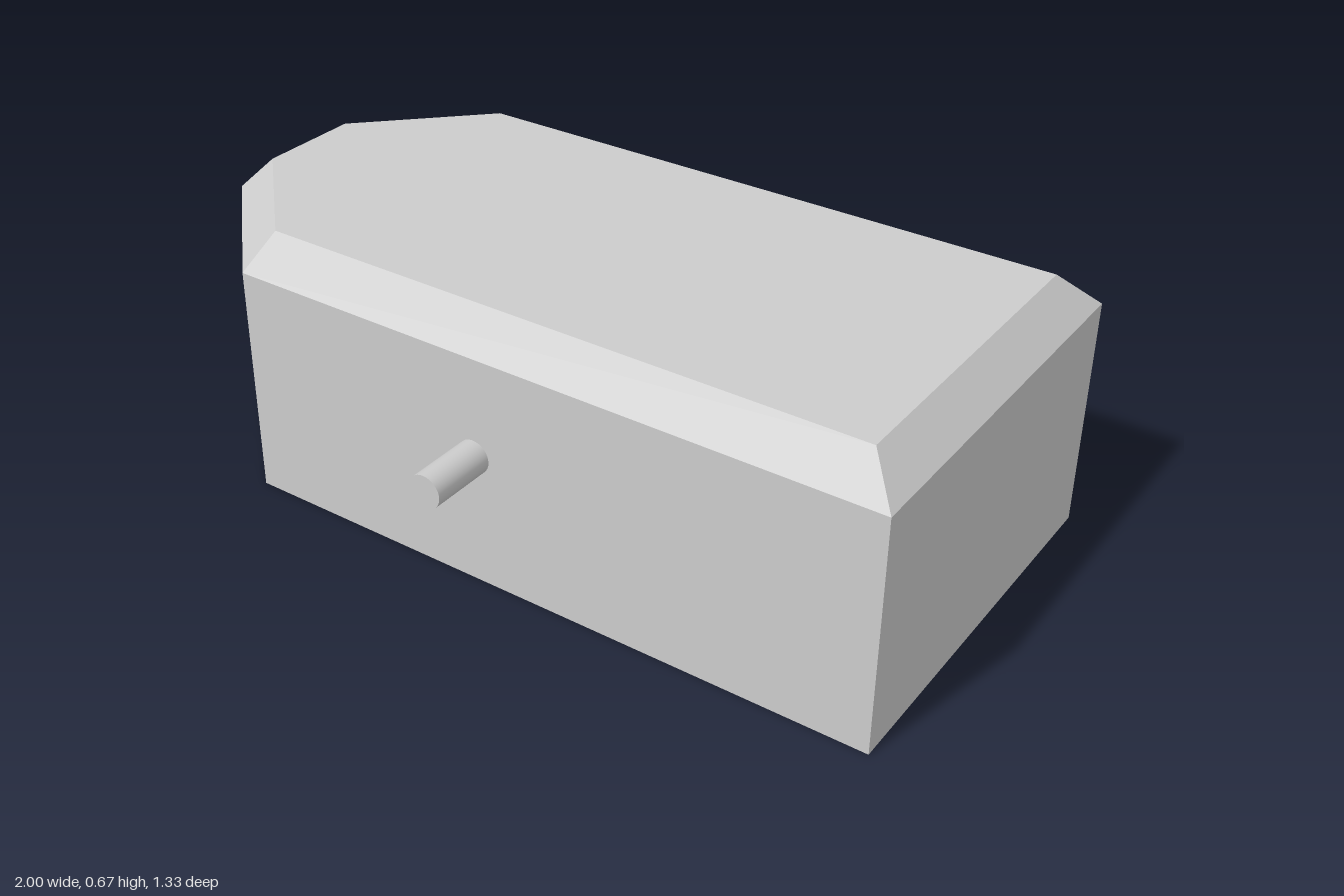
import * as THREE from 'three';

const grey = new THREE.MeshStandardMaterial({ color: 0xcccccc });
const flatGrey = new THREE.MeshStandardMaterial({ color: 0xcccccc, flatShading: true });

// Six-sided plan with two cut corners at the -x end, moved inward by d (counterclockwise from above)
function plan(d, y) {
  const m = d * Math.tan(Math.PI / 8); // mitre shift at the 135 degree corners
  return [
    [1 - d, 0.5 - d], [1 - d, -0.5 + d],
    [-0.667 + m, -0.5 + d], [-1 + d, -0.167 + m],
    [-1 + d, 0.167 - m], [-0.667 + m, 0.5 - d],
  ].map(([x, z]) => [x, y, z]);
}

// Closed solid through stacked rings, bottom to top
function stackRings(rings) {
  const pos = [];
  const tri = (a, b, c) => pos.push(...a, ...b, ...c);
  const n = rings[0].length;
  const top = rings[rings.length - 1];
  for (let r = 0; r < rings.length - 1; r++) {
    for (let i = 0; i < n; i++) {
      const j = (i + 1) % n;
      tri(rings[r][i], rings[r][j], rings[r + 1][j]);
      tri(rings[r][i], rings[r + 1][j], rings[r + 1][i]);
    }
  }
  for (let i = 1; i < n - 1; i++) {
    tri(top[0], top[i], top[i + 1]);
    tri(rings[0][0], rings[0][i + 1], rings[0][i]);
  }
  const geo = new THREE.BufferGeometry();
  geo.setAttribute('position', new THREE.Float32BufferAttribute(pos, 3));
  geo.computeVertexNormals();
  return geo;
}

export function createModel() {
  const group = new THREE.Group();

  // Block with bevelled top edge
  const body = new THREE.Mesh(
    stackRings([plan(0, 0), plan(0, 0.583), plan(0.083, 0.667)]), flatGrey);
  body.name = 'body';
  group.add(body);

  // Round pegs on the front and back faces
  for (const side of [1, -1]) {
    const peg = new THREE.Mesh(new THREE.CylinderGeometry(0.0417, 0.0417, 0.167, 32), grey);
    peg.name = side > 0 ? 'frontPeg' : 'backPeg';
    peg.rotation.x = Math.PI / 2;
    peg.position.set(0, 0.334, side * 0.5835);
    group.add(peg);
  }
  return group;
}
